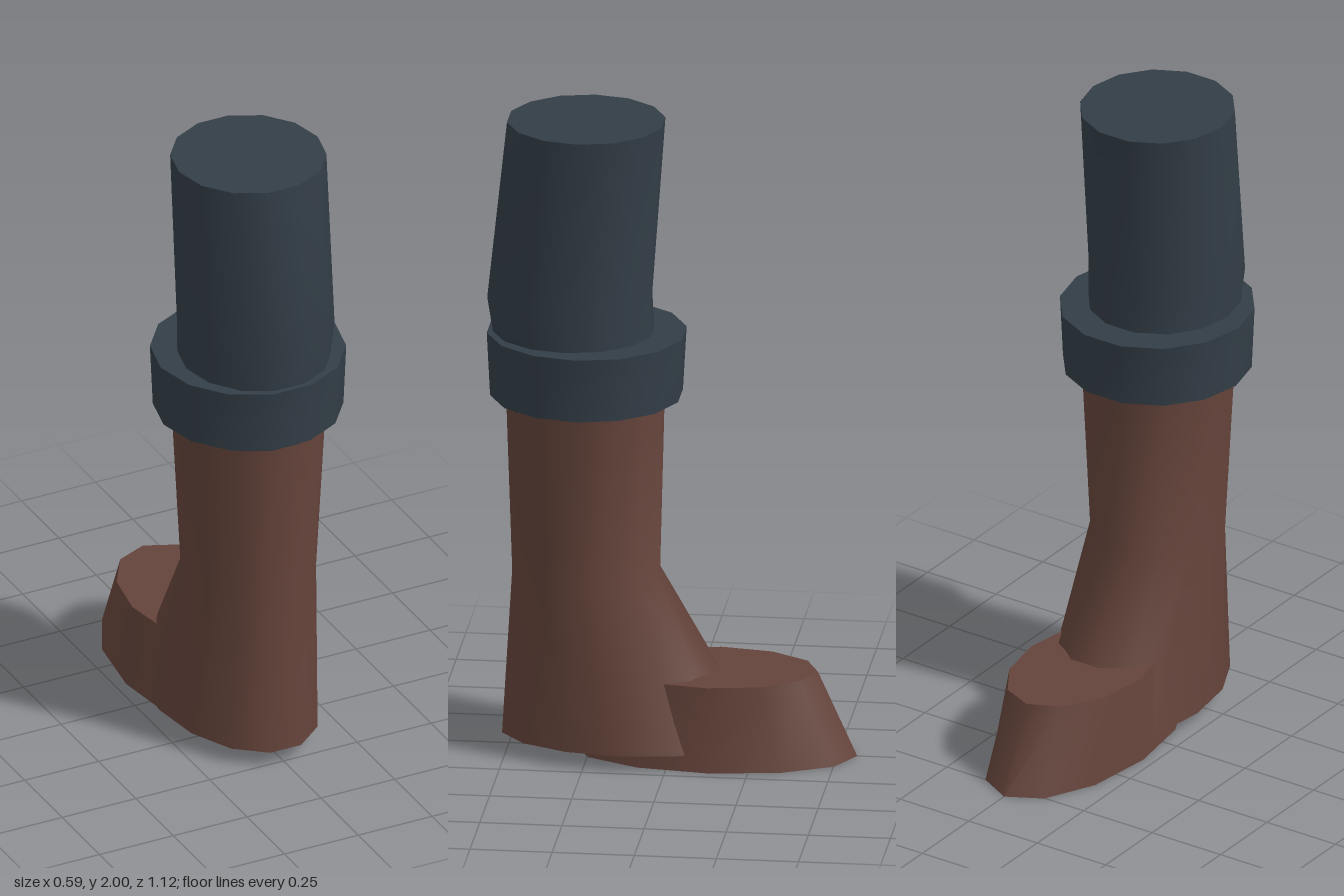
import * as THREE from 'three';
import { toCreasedNormals } from 'three/addons/utils/BufferGeometryUtils.js';

const leather = new THREE.MeshStandardMaterial({ color: 0x65443b });
leather.name = 'brown leather';
const cloth = new THREE.MeshStandardMaterial({ color: 0x333e47 });
cloth.name = 'dark slate cloth';

// Closed tube through elliptical rings, listed from top to bottom:
// [y, front z, back z, half width]
function loft(name, material, sides, rings) {
  const segments = rings.length - 1;
  const geometry = new THREE.CylinderGeometry(1, 1, 1, sides, segments);
  geometry.deleteAttribute('uv');
  const p = geometry.attributes.position;
  // A polygon with a corner at each side may not reach the full depth
  const reach = sides % 4 === 0 ? 1 : Math.cos(Math.PI / (2 * sides / 2));
  for (let i = 0; i < p.count; i++) {
    const [y, front, back, half] = rings[Math.round((0.5 - p.getY(i)) * segments)];
    const x = p.getZ(i), z = -p.getX(i);
    p.setXYZ(i, x * half, y, (front + back) / 2 + (z * (front - back)) / 2 / reach);
  }
  const mesh = new THREE.Mesh(toCreasedNormals(geometry, 0.9), material);
  mesh.name = name;
  return mesh;
}

export function createModel() {
  const model = new THREE.Group();
  model.name = 'bootedLeg';

  // Trouser leg, bent slightly at the knee and tucked into the boot
  model.add(loft('trouserLeg', cloth, 14, [
    [2.0, 0.5, 0.03, 0.235],
    [1.44, 0.56, 0.07, 0.235],
    [1.1, 0.508, 0.05, 0.215],
  ]));

  // Folded cuff around the top of the boot
  model.add(loft('cuff', cloth, 14, [
    [1.33, 0.56, -0.033, 0.295],
    [1.13, 0.55, -0.022, 0.287],
  ]));

  // Boot shaft, narrowing at the ankle and widening into heel and instep
  model.add(loft('bootShaft', leather, 14, [
    [1.2, 0.505, 0.03, 0.236],
    [0.57, 0.485, 0.045, 0.2],
    [0.05, 0.515, -0.25, 0.235],
  ]));

  // Foot with a sloping toe and a sole that runs back under the heel
  model.add(loft('foot', leather, 12, [
    [0.265, 0.19, -0.44, 0.195],
    [0, 0.303, -0.56, 0.215],
  ]));

  return model;
}
